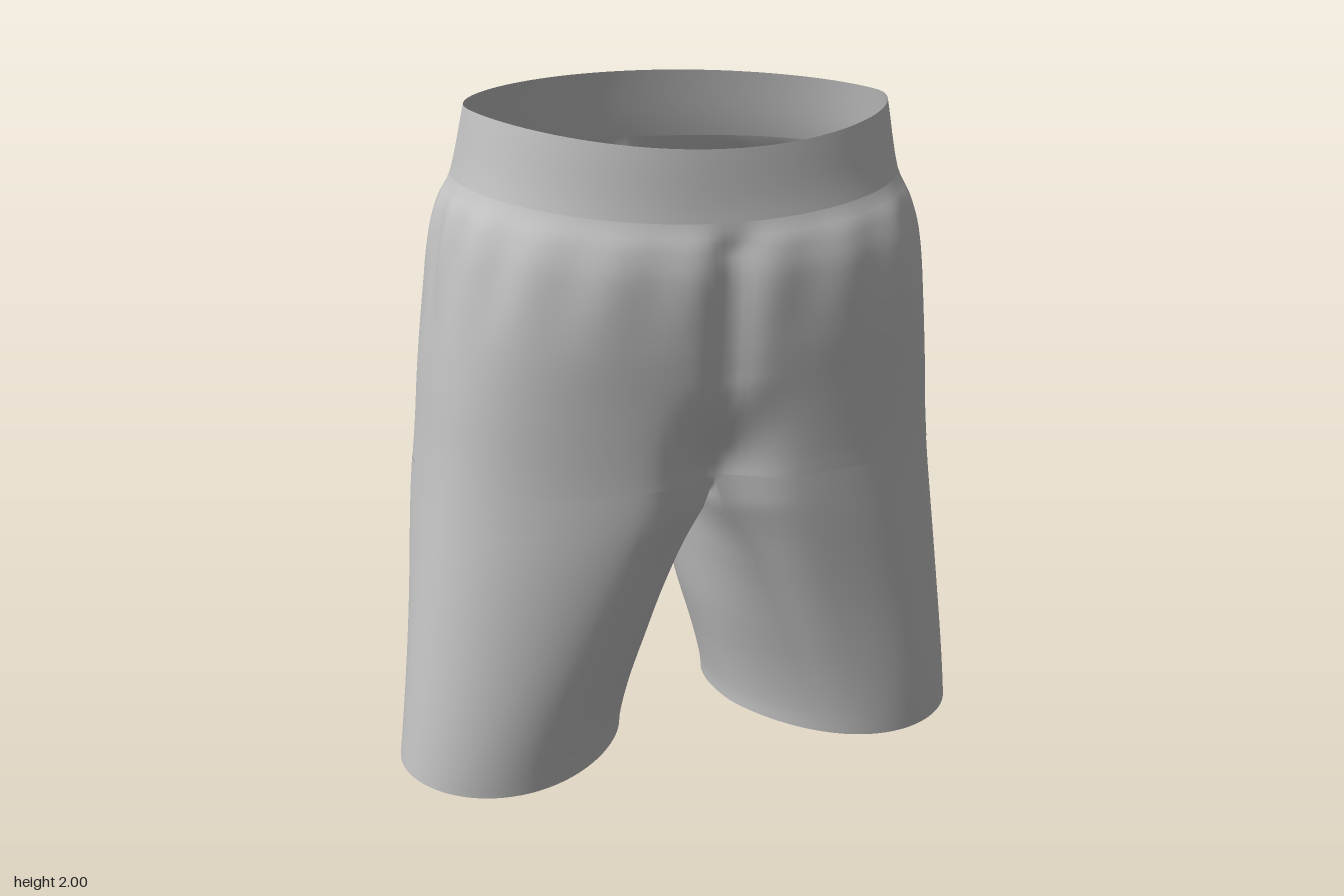
import * as THREE from 'three';
import { mergeVertices } from 'three/addons/utils/BufferGeometryUtils.js';

const COLS = 80;     // columns round the outside of one half
const INNER = 32;    // columns across the inside of one leg
const SPLIT = 0.93;  // height where the legs leave the hips
const CROTCH = 0.83; // lowest point of the crotch seam
const CORNER = THREE.MathUtils.degToRad(130);
const { lerp, smoothstep } = THREE.MathUtils;

// Smooth lookup through a few [height, value] pairs
function profile(points) {
  const slope = points.map((p, i) => {
    const a = points[Math.max(0, i - 1)], b = points[Math.min(points.length - 1, i + 1)];
    return (b[1] - a[1]) / (b[0] - a[0]);
  });
  return (y) => {
    let i = 0;
    while (i < points.length - 2 && y > points[i + 1][0]) i++;
    const [y0, v0] = points[i], [y1, v1] = points[i + 1];
    const h = y1 - y0, t = THREE.MathUtils.clamp((y - y0) / h, 0, 1), s = 1 - t;
    return v0 * (1 + 2 * t) * s * s + slope[i] * h * t * s * s
      + v1 * t * t * (3 - 2 * t) - slope[i + 1] * h * t * t * s;
  };
}

const halfWidth = profile([[0, 0.893], [0.6, 0.825], [1, 0.778], [1.2, 0.76], [1.4, 0.737], [1.6, 0.711], [1.7, 0.688], [1.77, 0.656], [1.97, 0.62]]);
const frontZ = profile([[0, 0.31], [0.4, 0.363], [0.8, 0.418], [1, 0.434], [1.2, 0.455], [1.4, 0.48], [1.6, 0.495], [1.7, 0.485], [1.77, 0.464], [1.97, 0.46]]);
const backZ = profile([[0, -0.467], [0.6, -0.46], [0.8, -0.456], [1, -0.452], [1.2, -0.46], [1.4, -0.48], [1.6, -0.492], [1.7, -0.472], [1.77, -0.442], [1.97, -0.4]]);
const middleZ = profile([[0, 0], [1.5, 0], [1.97, 0.04]]);
const squareness = profile([[0, 2.8], [1, 2.8], [1.4, 2.8], [1.6, 2.6], [1.77, 2.35], [1.97, 2.12]]);
const innerX = profile([[0, 0.178], [0.08, 0.172], [0.2, 0.145], [0.4, 0.09], [0.6, 0.05], [0.72, 0.028], [CROTCH, 0]]);

// Unit rounded-square section
function unit(angle, n) {
  const c = Math.cos(angle), s = Math.sin(angle);
  const r = Math.pow(Math.abs(c) ** n + Math.abs(s) ** n, -1 / n);
  return [c * r, s * r];
}
const depth = (pz, y) => lerp(middleZ(y), pz > 0 ? frontZ(y) : backZ(y), Math.abs(pz));
const outerAngle = (j) => Math.PI / 2 - Math.PI * j / COLS;
const gauss = (x, w) => Math.exp(-((x / w) ** 2));

// Hip and waist section: gathers below the band, a dent on the centre seam
// and a hollow between the thighs
function torsoPoint(angle, level, y) {
  const [px, pz] = unit(angle, squareness(level));
  const fade = smoothstep(level, 1.05, 1.3) * (1 - smoothstep(level, 1.68, 1.77));
  const gather = 1 - 0.009 * Math.cos(20 * angle) * gauss(level - 1.6, 0.16) * fade;
  const hollow = 1 - smoothstep(level, SPLIT, 1.28);
  const x = px * halfWidth(level) * gather;
  const dent = 0.025 * gauss(x, 0.06) * fade + 0.095 * gauss(x, 0.12) * hollow;
  return [x, y, depth(pz * gather, level) - Math.sign(pz) * dent];
}

// The band dips at the front and rises at the back
function tilt(angle, drop, rise) {
  const s = Math.sin(angle);
  return s > 0 ? -drop * s * s : rise * s * s;
}
const bandBottom = (a) => 1.77 + tilt(a, 0.08, 0.02);
const bandTop = (a) => 1.97 + tilt(a, 0.08, 0.03);

function waistPoint(v, j) {
  const a = outerAngle(j);
  return torsoPoint(a, 1.97 - 0.2 * v, lerp(bandTop(a), bandBottom(a), v));
}
function hipPoint(v, j) {
  const a = outerAngle(j);
  return torsoPoint(a, lerp(1.77, SPLIT, v), lerp(bandBottom(a), SPLIT, v));
}

// Leg: from half the hip section plus the crotch seam, to a round, slightly turned hem
function legPoint(t, j) {
  const fast = 1 - (1 - t) ** 1.7;
  let sx = -1, sz, sy = SPLIT, a, w = fast;
  if (j <= COLS) {
    const angle = outerAngle(j), turn = angle / (Math.PI / 2);
    const [x, , z] = torsoPoint(angle, SPLIT, SPLIT);
    sx = 2 * x / halfWidth(SPLIT) - 1;
    sz = z > 0 ? z / frontZ(SPLIT) : -z / backZ(SPLIT);
    a = turn * CORNER;
    w = lerp(smoothstep(t, 0, 1), fast, turn ** 4);
  } else {
    const k = (j - COLS) / INNER;
    const [, , front] = torsoPoint(Math.PI / 2, SPLIT, SPLIT);
    const [, , back] = torsoPoint(-Math.PI / 2, SPLIT, SPLIT);
    const c = -Math.cos(Math.PI * k);
    sz = c > 0 ? c * front / frontZ(SPLIT) : c * back / backZ(SPLIT);
    sy = SPLIT - (SPLIT - CROTCH) * Math.sin(Math.PI * k);
    a = -CORNER - k * (2 * Math.PI - 2 * CORNER);
  }
  const s = Math.sin(a);
  const y = lerp(sy, 0.04 - (s > 0 ? 0.04 : 0.02) * s * s, t);
  const px = lerp(sx, (Math.cos(a) + (0.25 - 0.06 * s) * s) * 0.973, w);
  const pz = lerp(sz, s, w);
  const inner = innerX(y);
  return [inner + (px + 1) / 2 * (halfWidth(y) - inner), y, depth(pz, y)];
}

// Adds a grid of points and its mirror image to the lists
function addGrid(out, rows, cols, point) {
  for (const side of [1, -1]) {
    const base = out.positions.length / 3;
    for (let i = 0; i <= rows; i++) {
      for (let j = 0; j <= cols; j++) {
        const [x, y, z] = point(i / rows, j);
        out.positions.push(side * x, y, z);
      }
    }
    for (let i = 0; i < rows; i++) {
      for (let j = 0; j < cols; j++) {
        const a = base + i * (cols + 1) + j, b = a + 1, c = a + cols + 1, d = c + 1;
        if (side > 0) out.index.push(a, c, b, b, c, d);
        else out.index.push(a, b, c, b, d, c);
      }
    }
  }
}

function clothMesh(name, material, grids) {
  const out = { positions: [], index: [] };
  for (const g of grids) addGrid(out, ...g);
  const raw = new THREE.BufferGeometry();
  raw.setAttribute('position', new THREE.Float32BufferAttribute(out.positions, 3));
  raw.setIndex(out.index);
  const geometry = mergeVertices(raw, 1e-4);
  geometry.computeVertexNormals();
  const mesh = new THREE.Mesh(geometry, material);
  mesh.name = name;
  return mesh;
}

export function createModel() {
  const cloth = new THREE.MeshStandardMaterial({ color: 0xc4c4c4, side: THREE.DoubleSide });
  cloth.name = 'grey cloth';
  const group = new THREE.Group();
  group.name = 'shorts';
  group.add(clothMesh('waistband', cloth, [[8, COLS, waistPoint]]));
  group.add(clothMesh('hipsAndLegs', cloth, [
    [40, COLS, hipPoint],
    [44, COLS + INNER, legPoint],
  ]));
  return group;
}
